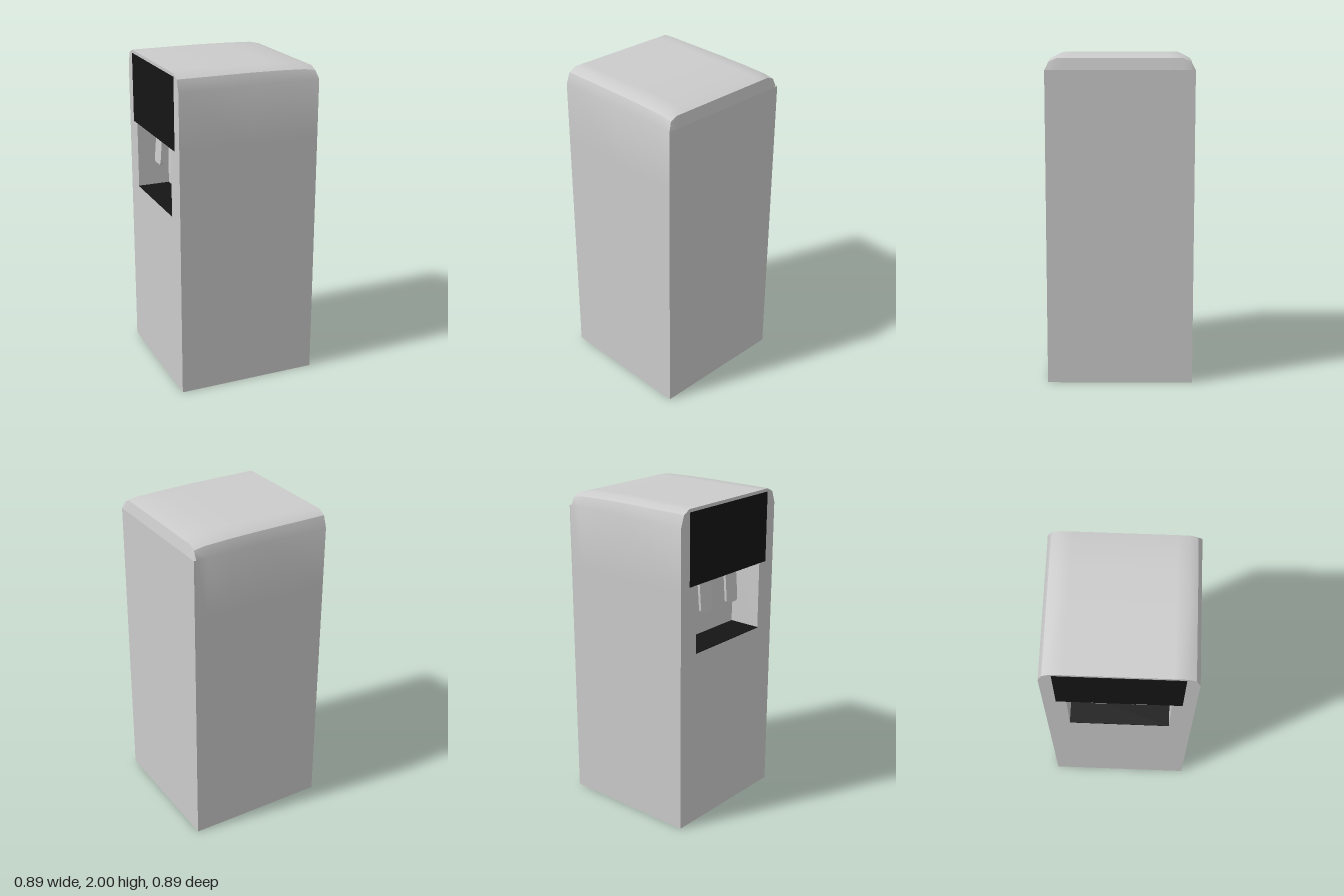
import * as THREE from 'three';
import { toCreasedNormals } from 'three/addons/utils/BufferGeometryUtils.js';

const HALF = 0.443, FACE = -0.444;
const RECESS = { w: 0.61, bottom: 1.12, top: 1.545, depth: 0.205 };

// Cabinet outline in (z, y), from the +z foot over the top to the -z foot
function outline(edgeY, topY) {
  const side = [[HALF, 0], [HALF, 1.54], [HALF, 1.905], [0.418, edgeY], [0.37, topY], [0.3, topY]];
  return [...side, ...side.map(([z, y]) => [-z, y]).reverse()];
}

// Skin joining the outlines along x; the top dips towards the rear edge
function shellGeometry() {
  const sections = [
    [FACE, 1.975, 2], [0, 1.975, 2], [0.2, 1.972, 1.996], [0.36, 1.966, 1.99],
    [0.428, 1.955, 1.975], [HALF, 1.905, 1.905],
  ];
  const pos = [], idx = [];
  const n = outline(0, 0).length;
  sections.forEach(([x, edgeY, topY], i) => {
    outline(edgeY, topY).forEach(([z, y]) => pos.push(x, y, z));
    if (i === sections.length - 1) return;
    for (let j = 0; j < n; j++) {
      const a = i * n + j, b = i * n + (j + 1) % n;
      idx.push(a, a + n, b, b, a + n, b + n);
    }
  });
  const g = new THREE.BufferGeometry();
  g.setAttribute('position', new THREE.Float32BufferAttribute(pos, 3));
  g.setIndex(idx);
  return toCreasedNormals(g, 0.6);
}

// Service face with the opening for the recess
function faceGeometry() {
  const shape = new THREE.Shape(outline(1.975, 2).map(([z, y]) => new THREE.Vector2(z, y)));
  const w = RECESS.w / 2;
  shape.holes.push(new THREE.Path([
    [-w, RECESS.bottom], [-w, RECESS.top], [w, RECESS.top], [w, RECESS.bottom],
  ].map(([z, y]) => new THREE.Vector2(z, y))));
  return new THREE.ShapeGeometry(shape).rotateY(-Math.PI / 2).translate(FACE, 0, 0);
}

// Inside of the recess: a box without its outer side
function recessGeometry() {
  const g = new THREE.BoxGeometry(RECESS.depth, RECESS.top - RECESS.bottom, RECESS.w);
  const index = Array.from(g.index.array);
  index.splice(6, 6);
  g.setIndex(index);
  g.clearGroups();
  return g.translate(FACE + RECESS.depth / 2, (RECESS.top + RECESS.bottom) / 2, 0);
}

// Flat dispensing lever with rounded lower corners
function leverGeometry() {
  const w = 0.053, r = 0.025, h = 0.225, t = 0.016;
  const s = new THREE.Shape();
  s.moveTo(-w, 0);
  s.lineTo(-w, -h + r);
  s.quadraticCurveTo(-w, -h, -w + r, -h);
  s.lineTo(w - r, -h);
  s.quadraticCurveTo(w, -h, w, -h + r);
  s.lineTo(w, 0);
  return new THREE.ExtrudeGeometry(s, { depth: t, bevelEnabled: false, curveSegments: 6 })
    .rotateY(-Math.PI / 2);
}

export function createModel() {
  const model = new THREE.Group();
  model.name = 'dispenser';
  const grey = new THREE.MeshStandardMaterial({ color: 0xcccccc });
  const inner = new THREE.MeshStandardMaterial({ color: 0xcccccc, side: THREE.BackSide });
  const black = new THREE.MeshStandardMaterial({ color: 0x151515 });

  const add = (name, geometry, material, x = 0, y = 0, z = 0) => {
    const mesh = new THREE.Mesh(geometry, material);
    mesh.name = name;
    mesh.position.set(x, y, z);
    model.add(mesh);
    return mesh;
  };

  // Cabinet
  add('cabinetShell', shellGeometry(), grey);
  add('cabinetRear', new THREE.PlaneGeometry(2 * HALF, 1.905).rotateY(Math.PI / 2), grey, HALF, 1.905 / 2, 0);
  add('serviceFace', faceGeometry(), grey);

  // Dark control panel above the recess
  add('controlPanel', new THREE.BoxGeometry(0.012, 0.437, 0.732), black, FACE + 0.004, 1.762, 0);

  // Recess with drip tray and two levers
  add('recess', recessGeometry(), inner);
  add('dripTray', new THREE.BoxGeometry(RECESS.depth, 0.004, RECESS.w), black,
    FACE + RECESS.depth / 2, RECESS.bottom + 0.002, 0);
  for (const [name, z] of [['leftLever', -0.124], ['rightLever', 0.124]]) {
    const lever = add(name, leverGeometry(), grey, FACE + 0.1, RECESS.top, z);
    lever.rotation.z = -0.08;
  }
  return model;
}
